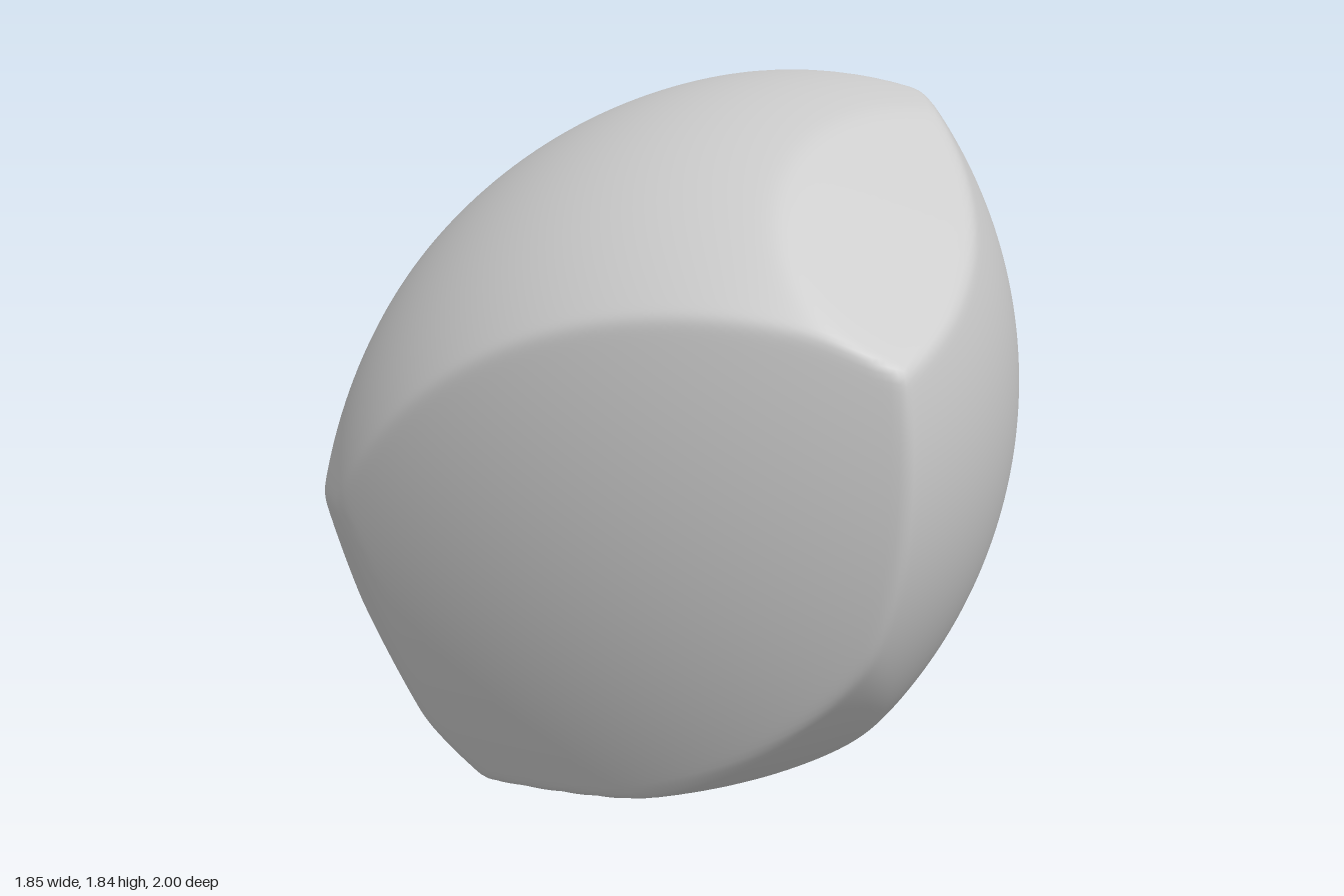
import * as THREE from 'three';
import { mergeVertices } from 'three/addons/utils/BufferGeometryUtils.js';

// The boulder is the softened intersection of large spheres, one per face.
const CORE = new THREE.Vector3(0, 0.92, 0);

// Strongly rounded face: sphere centre and radius
const dome = (x, y, z, radius) => ({ offset: CORE.clone().sub(new THREE.Vector3(x, y, z)), radius });

// Nearly flat face: outward direction, distance from the core, radius of the slight bulge
const facet = (x, y, z, distance, radius) => ({
  offset: new THREE.Vector3(x, y, z).normalize().multiplyScalar(radius - distance),
  radius,
});

const FACES = [
  dome(0.4, 0.47, -0.05, 1.366),           // top and left shoulder
  dome(-0.36, 1.035, -0.21, 1.293),        // right front
  dome(-0.43, 0.61, 0.52, 1.633),          // right back
  facet(-0.78, -0.08, 0.62, 0.697, 2.7),   // left front
  facet(0, 0.79, 0.61, 0.888, 20),         // chipped top front
  facet(-0.457, 0.1, -0.884, 0.833, 5),    // left back
  facet(-0.94, -0.3, -0.12, 0.955, 6),     // lower left
  facet(0.1, -0.33, -0.94, 1.05, 6),       // lower back
  facet(-0.62, -0.7, -0.35, 1.05, 6),      // lower left back corner
  facet(0.2, -0.77, 0.61, 0.95, 1.5),      // lower front
  facet(0.1, -0.99, 0.05, 0.887, 8),       // underside
];
const SHARPNESS = 150;

// Distance from the core to the surface along a unit direction
function reach(dir) {
  let sum = 0;
  for (const { offset, radius } of FACES) {
    const b = offset.dot(dir);
    const t = -b + Math.sqrt(b * b - offset.lengthSq() + radius * radius);
    sum += t ** -SHARPNESS;
  }
  return sum ** (-1 / SHARPNESS);
}

export function createModel() {
  let geometry = new THREE.IcosahedronGeometry(1, 60);
  geometry.deleteAttribute('normal');
  geometry.deleteAttribute('uv');
  geometry = mergeVertices(geometry, 1e-5);

  const pos = geometry.attributes.position;
  const v = new THREE.Vector3();
  for (let i = 0; i < pos.count; i++) {
    v.fromBufferAttribute(pos, i).normalize();
    v.multiplyScalar(reach(v));
    pos.setXYZ(i, v.x, v.y, v.z);
  }

  // Centre it and rest it on the ground
  geometry.computeBoundingBox();
  const mid = geometry.boundingBox.getCenter(new THREE.Vector3());
  geometry.translate(-mid.x, -geometry.boundingBox.min.y, -mid.z);
  geometry.computeVertexNormals();

  const boulder = new THREE.Mesh(geometry, new THREE.MeshStandardMaterial({ color: 0xcccccc }));
  boulder.name = 'boulder';
  const group = new THREE.Group();
  group.name = 'rock';
  group.add(boulder);
  return group;
}
